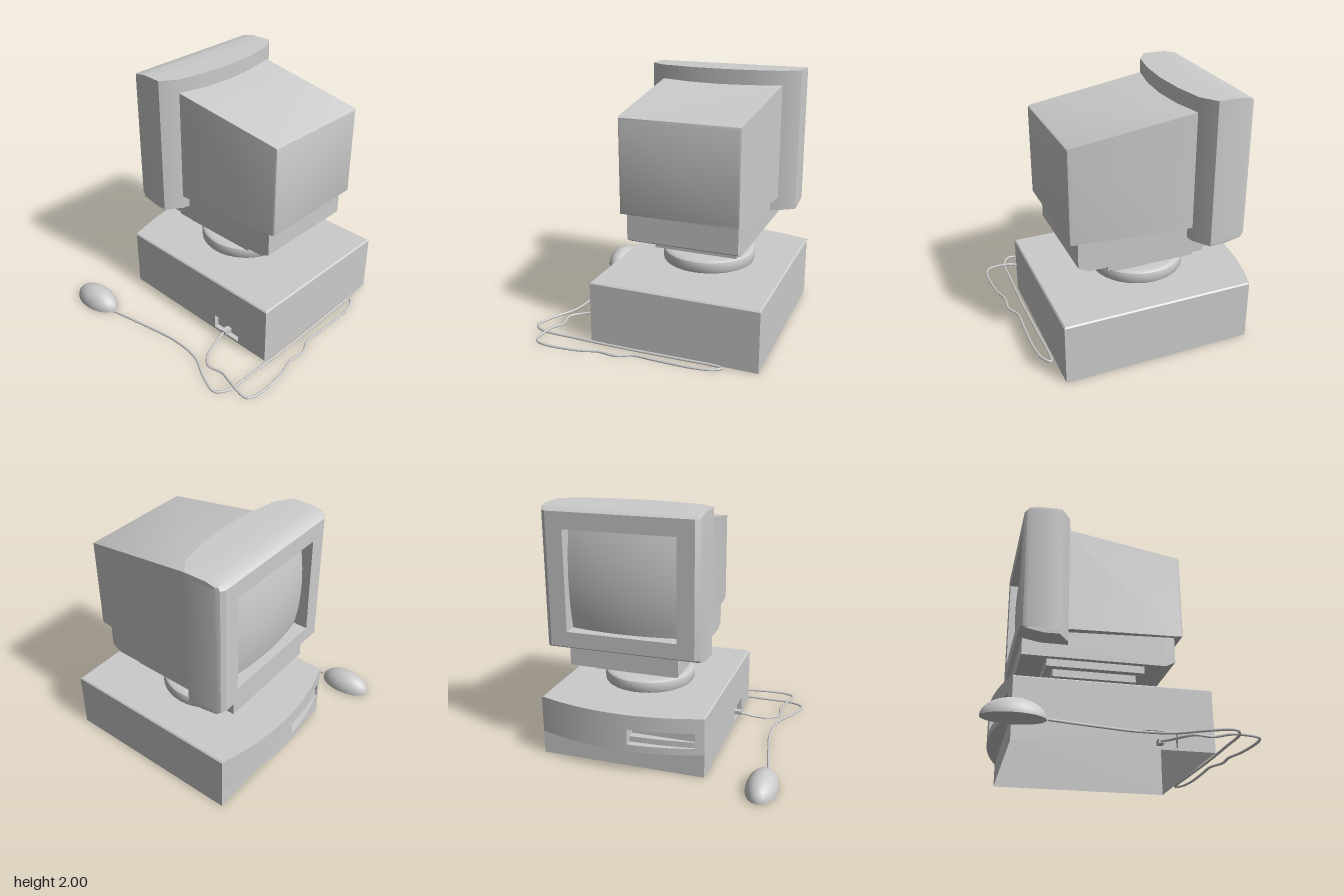
import * as THREE from 'three';
import { toCreasedNormals } from 'three/addons/utils/BufferGeometryUtils.js';

const grey = new THREE.MeshStandardMaterial({ color: 0xcccccc });
const open = new THREE.MeshStandardMaterial({ color: 0xcccccc, side: THREE.DoubleSide });
const V = (x, y, z) => new THREE.Vector3(x, y, z);

function add(parent, name, geo, x = 0, y = 0, z = 0, mat = grey) {
  const mesh = new THREE.Mesh(geo, mat);
  mesh.name = name;
  mesh.position.set(x, y, z);
  parent.add(mesh);
  return mesh;
}

// Skin rings of points (counter-clockwise seen from the last ring), with optional caps and gaps
function loft(rings, { start = true, end = true, skip = () => false } = {}) {
  const pts = [];
  const n = rings[0].length;
  const cap = (ring, flip) => {
    const c = ring.reduce((s, p) => s.add(p), V(0, 0, 0)).divideScalar(n);
    ring.forEach((p, i) => {
      const q = ring[(i + 1) % n];
      pts.push(c, flip ? q : p, flip ? p : q);
    });
  };
  for (let j = 0; j < rings.length - 1; j++) {
    for (let i = 0; i < n; i++) {
      if (skip(j, i)) continue;
      const k = (i + 1) % n;
      const a = rings[j][i], b = rings[j][k], c = rings[j + 1][k], d = rings[j + 1][i];
      pts.push(a, b, c, a, c, d);
    }
  }
  if (start) cap(rings[0], true);
  if (end) cap(rings[rings.length - 1], false);
  const geo = new THREE.BufferGeometry().setFromPoints(pts);
  return toCreasedNormals(geo, 0.6);
}

const rect = (x0, x1, y0, y1) => [[x0, y0], [x1, y0], [x1, y1], [x0, y1]];
const ringZ = (pts, z) => pts.map(([x, y]) => V(x, y, z));
const ringY = (pts, y) => pts.map(([x, z]) => V(x, y, z));

// Flat panel with a rectangular hole
function panel(outer, hole) {
  const shape = new THREE.Shape(outer.map(([x, y]) => new THREE.Vector2(x, y)));
  shape.holes.push(new THREE.Path(hole.map(([x, y]) => new THREE.Vector2(x, y))));
  return new THREE.ShapeGeometry(shape);
}

// Block with a flat back and a bowed front
function bowed(x0, x1, y0, y1, bow = 0.115) {
  const plan = [[x0, -0.75], [x1, -0.75]];
  for (let i = 0; i <= 16; i++) {
    const x = x1 + (x0 - x1) * i / 16;
    plan.push([x, -0.751 - bow * (1 - (x / 0.668) ** 2)]);
  }
  return loft([ringY(plan, y0), ringY(plan, y1)]);
}

function buildCase(parent) {
  const g = new THREE.Group();
  g.name = 'computerCase';
  parent.add(g);
  // Hollow shell, open underneath
  const W = 0.668, D = 0.75;
  const plan = (e) => [[-W + e, D - e], [W - e, D - e], [W - e, -D], [-W + e, -D]];
  add(g, 'caseShell', loft([ringY(plan(0), 0), ringY(plan(0), 0.48), ringY(plan(0.01), 0.49)],
    { start: false, skip: (j, i) => j === 0 && i === 3 }), 0, 0, 0, open);

  // Side wall with the socket recess
  const socket = rect(0.205, 0.465, 0.02, 0.14);
  add(g, 'socketWall', panel(rect(-D, D, 0, 0.48), socket).rotateY(-Math.PI / 2), -W, 0, 0, open);
  add(g, 'socketRecess', loft([ringZ(socket, 0), ringZ(socket, -0.04)], { start: false })
    .rotateY(-Math.PI / 2), -W, 0, 0, open);
  add(g, 'plug', new THREE.BoxGeometry(0.07, 0.035, 0.045), -0.668, 0.055, 0.334);

  // Bowed front, leaving the drive slot open
  add(g, 'frontLower', bowed(-W, W, 0.19, 0.245));
  add(g, 'frontUpper', bowed(-W, W, 0.37, 0.49));
  add(g, 'frontWide', bowed(-0.09, W, 0.245, 0.37));
  add(g, 'frontEnd', bowed(-W, -0.6, 0.245, 0.37));
  add(g, 'driveLedge', bowed(-0.6, -0.09, 0.245, 0.29, 0.06));
}

function buildStand(parent) {
  const g = new THREE.Group();
  g.name = 'monitorStand';
  g.position.z = -0.083;
  parent.add(g);
  const profile = [[0, 0.49], [0.366, 0.49], [0.372, 0.5], [0.372, 0.555], [0.366, 0.575],
    [0.35, 0.587], [0.33, 0.59], [0, 0.59]].map(([r, y]) => new THREE.Vector2(r, y));
  add(g, 'turntable', toCreasedNormals(new THREE.LatheGeometry(profile, 40), 0.6));
  add(g, 'neck', new THREE.CylinderGeometry(0.15, 0.15, 0.06, 32), 0, 0.615);
  add(g, 'lowerPlate', new THREE.BoxGeometry(0.67, 0.06, 0.67), 0, 0.67);
  add(g, 'upperPlate', new THREE.BoxGeometry(0.786, 0.06, 0.786), 0, 0.73);
}

function buildMonitor(parent) {
  const g = new THREE.Group();
  g.name = 'monitor';
  parent.add(g);

  // Foot block with a sloped rear edge
  const side = new THREE.Shape([[0.555, 1.03], [0.475, 1.03], [-0.4, 1.03], [-0.677, 0.9],
    [-0.677, 0.76], [0.475, 0.76], [0.555, 0.8]].map(([z, y]) => new THREE.Vector2(z, y)));
  add(g, 'monitorFoot', new THREE.ExtrudeGeometry(side, { depth: 0.872, bevelEnabled: false })
    .rotateY(-Math.PI / 2), 0.436);

  // Tapered rear housing with a softened back edge
  const back = (z, w, y0, y1) => ringZ(rect(-w, w, y0, y1), z);
  add(g, 'rearHousing', loft([back(-0.4, 0.499, 0.977, 1.9), back(0.605, 0.465, 1.018, 1.753),
    back(0.619, 0.459, 1.025, 1.745), back(0.625, 0.445, 1.038, 1.73)]));

  // Front housing: bowed back, rounded corners, sloping top and bottom edges
  const half = [[0.25, -0.28], [0.497, -0.325], [0.624, -0.413], [0.619, -0.663],
    [0.606, -0.695], [0.573, -0.715]];
  const plan = [[0, -0.265], ...half, ...half.map(([x, z]) => [-x, z]).reverse()];
  const levels = [[0.87, -0.53], [0.895, -0.67], [0.92, -0.715], [1.96, -0.715],
    [1.985, -0.68], [2, -0.59]];
  const rings = levels.map(([y, front]) => ringY(plan.map(([x, z]) => [x, Math.max(z, front)]), y));
  add(g, 'frontHousing', loft(rings, { skip: (j, i) => j === 2 && i === 6 }));

  // Bezel face, opening walls and bulging screen
  const hole = rect(-0.44, 0.44, 1.04, 1.83);
  add(g, 'bezel', panel(rect(-0.573, 0.573, 0.92, 1.96), hole).rotateY(Math.PI), 0, 0, -0.715);
  add(g, 'screenSurround', loft([ringZ(hole, -0.58), ringZ(hole, -0.715)],
    { start: false, end: false }), 0, 0, 0, open);
  const glass = new THREE.PlaneGeometry(0.88, 0.79, 20, 16).rotateY(Math.PI);
  const p = glass.attributes.position;
  for (let i = 0; i < p.count; i++) {
    p.setZ(i, 0.045 * ((p.getX(i) / 0.44) ** 2 + (p.getY(i) / 0.395) ** 2));
  }
  glass.computeVertexNormals();
  add(g, 'screen', glass, 0, 1.435, -0.69);
}

function buildMouse(parent) {
  const g = new THREE.Group();
  g.name = 'mouse';
  g.position.set(-0.81, 0.005, -0.77);
  g.rotation.y = -0.04;
  parent.add(g);
  const dome = add(g, 'mouseBody', new THREE.SphereGeometry(1, 20, 8, 0, Math.PI * 2, 0, Math.PI / 2));
  dome.scale.set(0.123, 0.135, 0.218);
  const under = add(g, 'mouseUnderside', new THREE.CircleGeometry(1, 20).rotateX(Math.PI / 2));
  under.scale.set(0.123, 1, 0.218);

  // Cable looping behind the case and back to the side socket
  const path = [[-0.83, -0.55], [-0.785, -0.2], [-0.76, 0.1], [-0.8, 0.35], [-0.92, 0.55],
    [-0.975, 0.7], [-0.9, 0.768], [-0.6, 0.805], [-0.2, 0.84], [0.2, 0.862], [0.57, 0.885],
    [0.6, 0.9], [0.54, 0.94], [0.4, 0.957], [0.1, 0.937], [-0.08, 0.922], [-0.2, 0.965],
    [-0.35, 0.947], [-0.5, 0.975], [-0.8, 0.965], [-0.87, 0.92], [-0.84, 0.75, 0.025],
    [-0.79, 0.62], [-0.8, 0.49], [-0.73, 0.42], [-0.6, 0.38, 0.025], [-0.46, 0.365, 0.055]];
  const curve = new THREE.CatmullRomCurve3(path.map(([x, z, y = 0.01]) => V(x, y, z)));
  add(parent, 'mouseCable', new THREE.TubeGeometry(curve, 220, 0.01, 8));
}

export function createModel() {
  const model = new THREE.Group();
  model.name = 'desktopComputer';

  // The computer stands slightly turned
  const computer = new THREE.Group();
  computer.name = 'computer';
  computer.position.set(0.25, 0, 0.086);
  computer.rotation.y = -0.0715;
  model.add(computer);

  buildCase(computer);
  buildStand(computer);
  buildMonitor(computer);
  buildMouse(model);
  return model;
}
